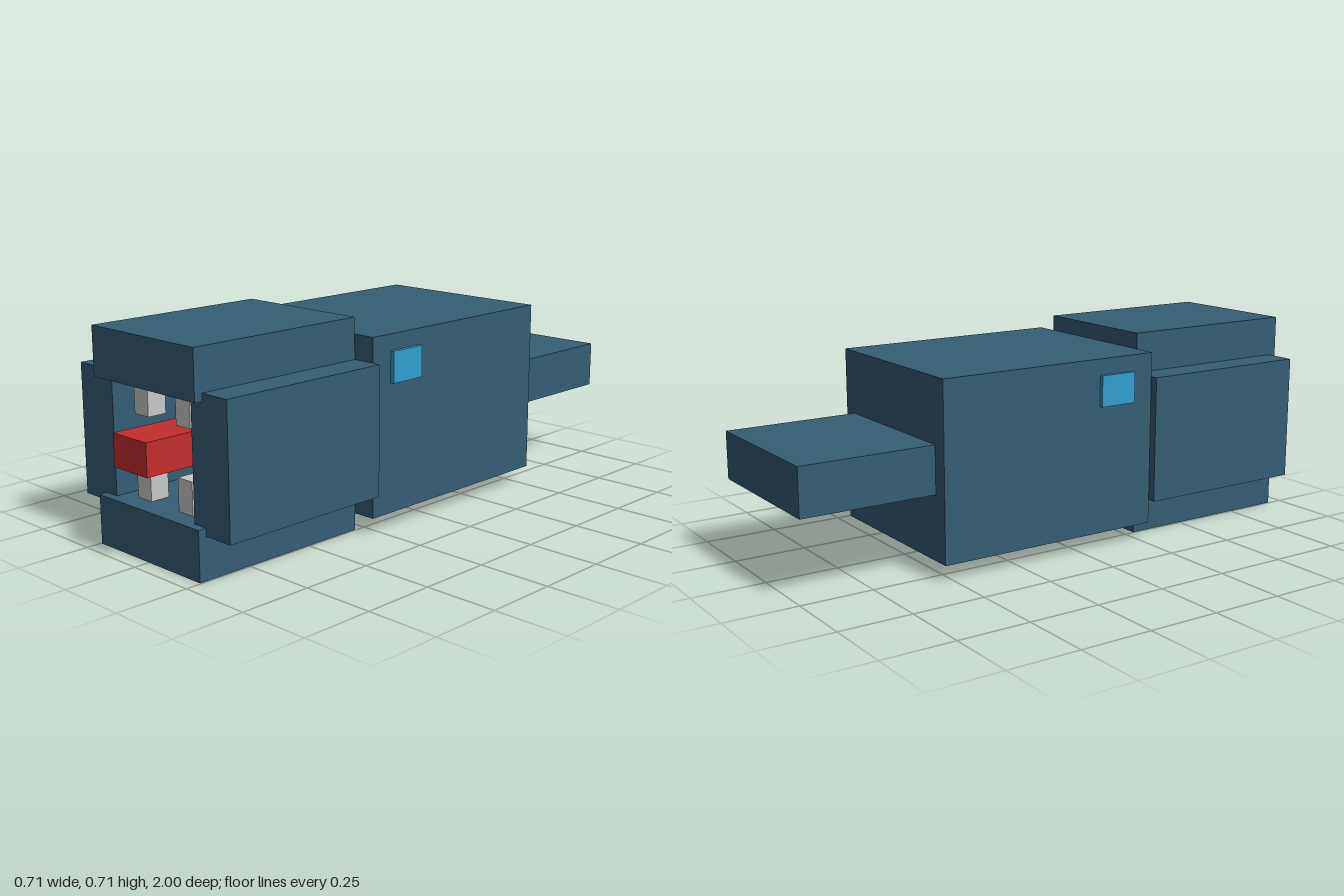
import * as THREE from 'three';

const material = (name, color) => {
  const m = new THREE.MeshStandardMaterial({ color });
  m.name = name;
  return m;
};

export function createModel() {
  const model = new THREE.Group();
  model.name = 'blockFish';
  const skin = material('slate blue', 0x355e75);
  const eyeBlue = material('bright blue', 0x329fd0);
  const red = material('red', 0xc42d2d);
  const white = material('light grey', 0xc8c8c8);

  // Box given by its extents along each axis
  const block = (name, mat, [x0, x1], [y0, y1], [z0, z1]) => {
    const mesh = new THREE.Mesh(new THREE.BoxGeometry(x1 - x0, y1 - y0, z1 - z0), mat);
    mesh.position.set((x0 + x1) / 2, (y0 + y1) / 2, (z0 + z1) / 2);
    mesh.name = name;
    model.add(mesh);
  };

  // Body and flat tail
  block('body', skin, [-0.327, 0.327], [0.057, 0.658], [-0.533, 0.288]);
  block('tail', skin, [-0.273, 0.273], [0.278, 0.44], [-1, -0.533]);

  // Jaws around the open mouth, with the tongue running out from the body
  block('upperJaw', skin, [-0.246, 0.246], [0.55, 0.713], [0.288, 0.945]);
  block('lowerJaw', skin, [-0.246, 0.246], [0, 0.165], [0.288, 0.945]);
  block('tongue', red, [-0.081, 0.081], [0.302, 0.411], [0.288, 1]);

  // Mirrored cheeks, eyes and teeth
  for (const [side, s] of [['left', 1], ['right', -1]]) {
    const span = (a, b) => (s > 0 ? [a, b] : [-b, -a]);
    block(side + 'Cheek', skin, span(0.193, 0.355), [0.139, 0.575], [0.288, 0.917]);
    block(side + 'Eye', eyeBlue, span(0.32, 0.341), [0.497, 0.603], [0.07, 0.206]);
    block(side + 'UpperTooth', white, span(0.068, 0.136), [0.438, 0.55], [0.808, 0.876]);
    block(side + 'LowerTooth', white, span(0.068, 0.136), [0.165, 0.274], [0.808, 0.876]);
  }
  return model;
}
